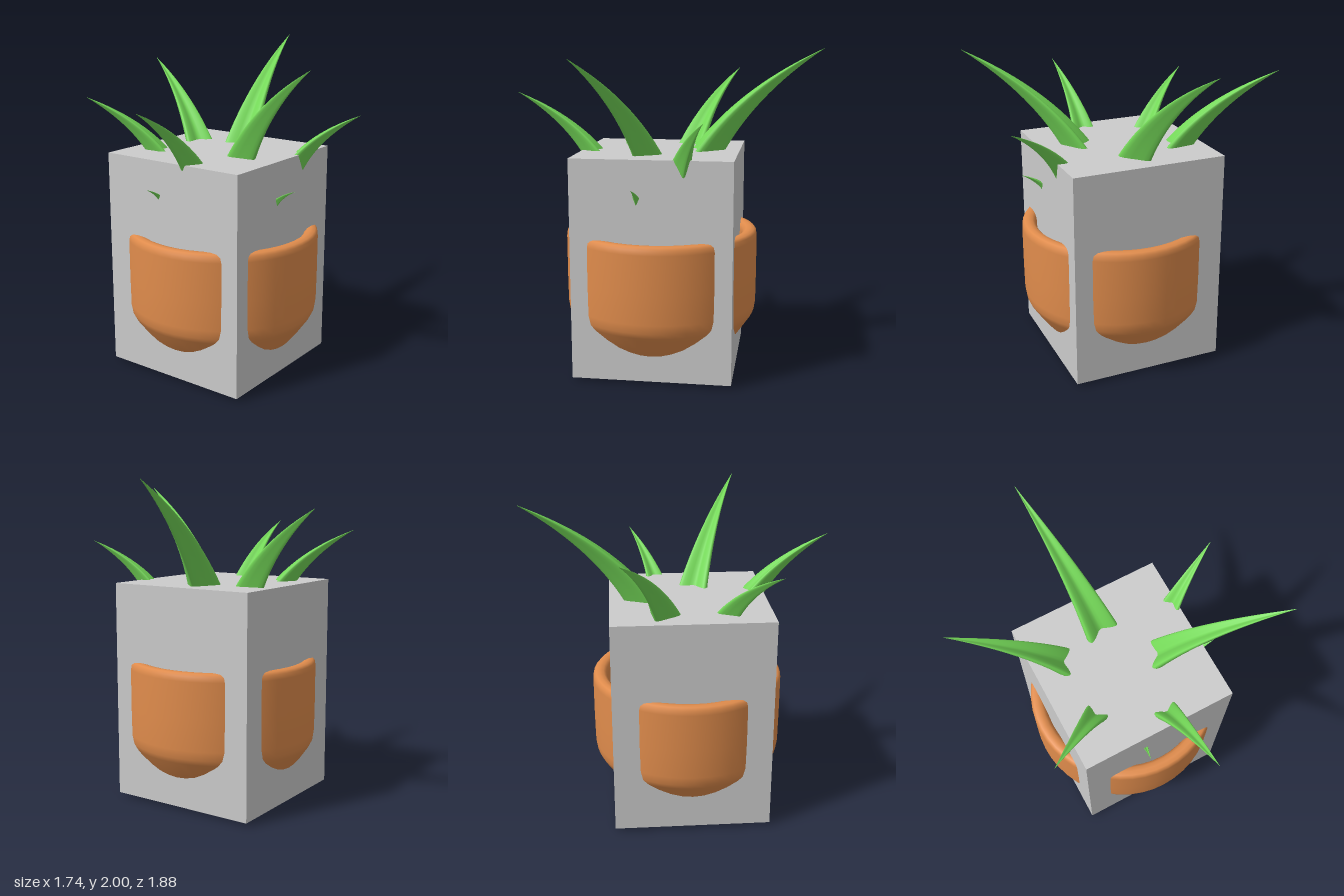
import * as THREE from 'three';

const terracotta = new THREE.MeshStandardMaterial({ color: 0xe08c4c, side: THREE.DoubleSide });
const green = new THREE.MeshStandardMaterial({ color: 0x74d858 });
const grey = new THREE.MeshStandardMaterial({ color: 0xcccccc });

// Leaf cross-section: two rounded lobes, a groove on top and a keel below.
const section = new THREE.CatmullRomCurve3(
  [[0.95, 0.35], [0.85, 0.6], [0.45, 0.5], [0, 0.3], [-0.45, 0.5], [-0.85, 0.6], [-0.95, 0.35],
    [-0.5, -0.35], [-0.08, -0.9], [0.08, -0.9], [0.5, -0.35]]
    .map(([x, y]) => new THREE.Vector3(x, y, 0)), true).getPoints(28).slice(0, 28);

// Sweeps the tapering section along an outward-bending arc; t < 0 runs down to the root.
function leafGeometry(base, tip, width) {
  const d = tip.clone().sub(base);
  const out = new THREE.Vector3(d.x, 0, d.z);
  const reach = out.length();
  out.normalize();
  const steps = 24, n = section.length, pos = [], index = [];
  for (let i = 0; i <= steps; i++) {
    const t = -0.5 + 1.5 * i / steps;
    const r = reach * (0.7 * t + 0.3 * t * t), y = d.y * (1.2 * t - 0.2 * t * t);
    const slope = new THREE.Vector2(reach * (0.7 + 0.6 * t), d.y * (1.2 - 0.4 * t)).normalize();
    const centre = base.clone().addScaledVector(out, r);
    centre.y += y;
    const tangent = out.clone().multiplyScalar(slope.x).setY(slope.y);
    const normal = out.clone().multiplyScalar(-slope.y).setY(slope.x);
    const side = normal.clone().cross(tangent);
    const w = width * Math.max(1 - t, 0.01);
    for (const p of section) {
      const v = centre.clone().addScaledVector(side, p.x * w).addScaledVector(normal, p.y * w);
      pos.push(v.x, v.y, v.z);
    }
    if (i === steps) break;
    for (let j = 0; j < n; j++) {
      const a = i * n + j, b = i * n + (j + 1) % n;
      index.push(a, b, a + n, b, b + n, a + n);
    }
  }
  // Root cap
  for (let j = 1; j < n - 1; j++) index.push(0, j + 1, j);
  const g = new THREE.BufferGeometry();
  g.setAttribute('position', new THREE.Float32BufferAttribute(pos, 3));
  g.setIndex(index);
  g.computeVertexNormals();
  return g;
}

export function createModel() {
  const model = new THREE.Group();
  const add = (name, geometry, material, x = 0, y = 0, z = 0, parent = model) => {
    const mesh = new THREE.Mesh(geometry, material);
    mesh.name = name;
    mesh.position.set(x, y, z);
    parent.add(mesh);
    return mesh;
  };

  // Round pot with a tapered foot, rolled rim and hollow inside
  const profile = [[0, 0], [0.3, 0], [0.33, 0.008], [0.35, 0.025], [0.465, 0.18], [0.505, 0.23],
    [0.575, 0.33], [0.592, 0.365], [0.6, 0.42], [0.602, 0.6], [0.602, 0.84], [0.598, 0.87], [0.585, 0.886],
    [0.56, 0.89], [0.535, 0.886], [0.518, 0.87], [0.51, 0.84], [0.51, 0.42], [0.48, 0.34], [0.3, 0.1], [0, 0.1]]
    .map(([r, y]) => new THREE.Vector2(r, y));
  add('pot', new THREE.LatheGeometry(profile, 48), terracotta, 0.02, 0, 0.053);

  // Block standing through the pot
  add('block', new THREE.BoxGeometry(0.97, 1.355, 0.972), grey, 0, 0.6975, 0.053);

  // Leaves: point near the block surface, tip, half width
  const leaves = new THREE.Group();
  leaves.name = 'leaves';
  model.add(leaves);
  [
    [[-0.015, 1.375, -0.23], [-0.14, 2, -0.94], 0.108],
    [[-0.33, 1.375, -0.12], [-0.87, 1.845, -0.37], 0.092],
    [[0.25, 1.375, 0.13], [0.865, 1.96, 0.43], 0.096],
    [[0.46, 1.345, -0.135], [0.79, 1.62, -0.285], 0.062],
    [[-0.3, 1.365, 0.285], [-0.66, 1.695, 0.53], 0.072],
    [[0.09, 1.36, 0.47], [0.115, 1.73, 0.94], 0.075],
    [[-0.088, 1.15, 0.525], [-0.105, 1.215, 0.625], 0.018],
    [[0.47, 1.125, 0.135], [0.61, 1.215, 0.145], 0.024],
  ].forEach(([base, tip, width], i) => add('leaf' + (i + 1),
    leafGeometry(new THREE.Vector3(...base), new THREE.Vector3(...tip), width), green, 0, 0, 0, leaves));

  return model;
}
